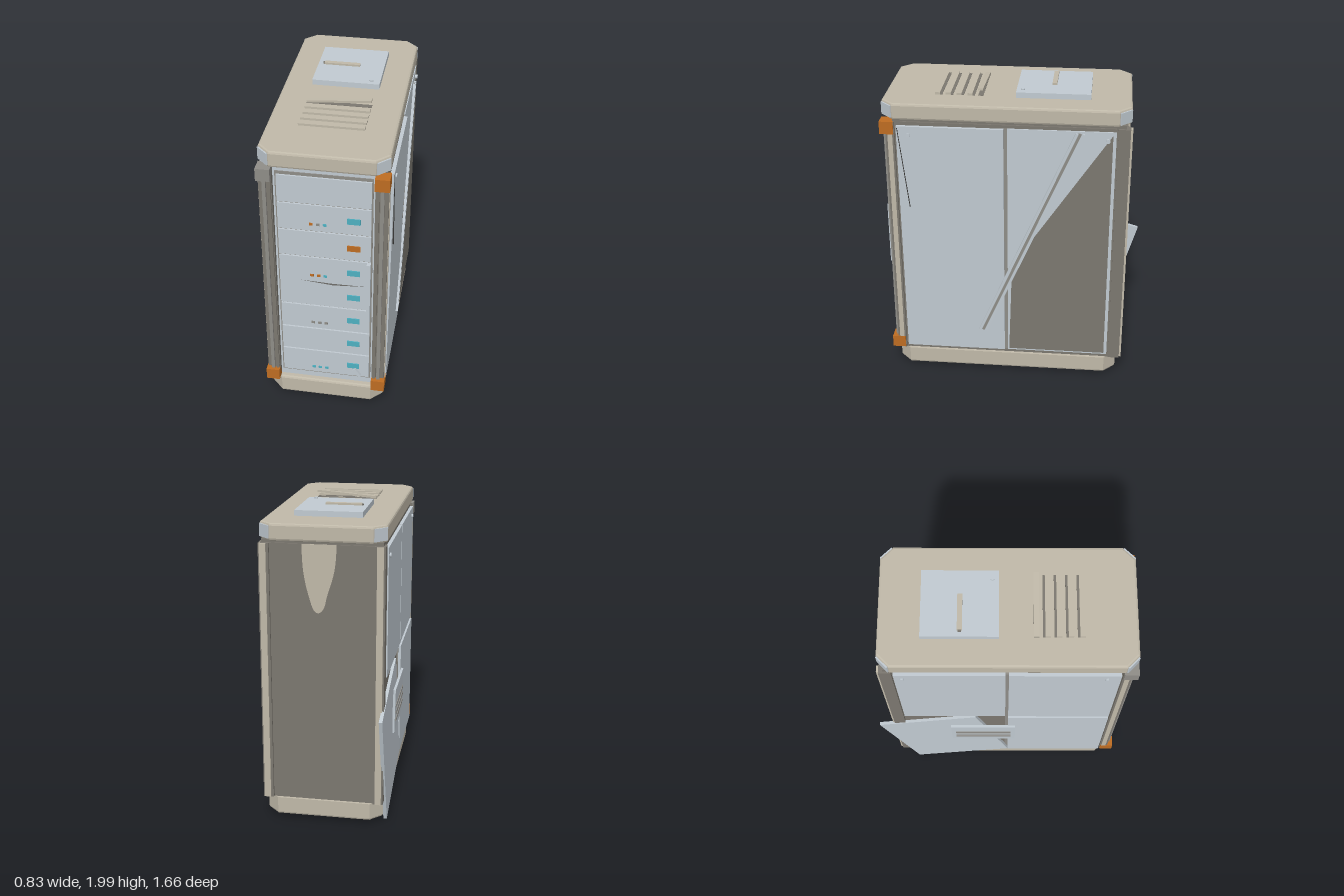
import * as THREE from 'three';

const mat = (name, color, side = THREE.FrontSide) => {
  const m = new THREE.MeshStandardMaterial({ color, side });
  m.name = name;
  return m;
};

export function createModel() {
  const root = new THREE.Group();
  root.name = 'serverCabinet';
  const beige = mat('warmBeige', 0xbfb8a8);
  const pale = mat('paleBlueGrey', 0xc0c9d0);
  const dark = mat('darkTaupe', 0x7b776f);
  const grey = mat('midGrey', 0x8e8c87);
  const black = mat('charcoal', 0x3a3937);
  const orange = mat('burntOrange', 0xbd6c22);
  const cyan = mat('cyanLamp', 0x4fb0c0);

  const add = (name, geo, m, parent = root) => {
    const mesh = new THREE.Mesh(geo, m);
    mesh.name = name;
    parent.add(mesh);
    return mesh;
  };
  // box given by its limits on each axis
  const box = (name, m, x0, x1, y0, y1, z0, z1, parent) => {
    const b = add(name, new THREE.BoxGeometry(x1 - x0, y1 - y0, z1 - z0), m, parent);
    b.position.set((x0 + x1) / 2, (y0 + y1) / 2, (z0 + z1) / 2);
    return b;
  };
  // slab with cut corners in plan and softened edges
  const slab = (name, w, z0, z1, y0, y1, cut) => {
    const r = 0.014, a = w - r, d = (z1 - z0) / 2 - r, c = cut - r / 2;
    const s = new THREE.Shape([
      [-a + c, -d], [a - c, -d], [a, -d + c], [a, d - c],
      [a - c, d], [-a + c, d], [-a, d - c], [-a, -d + c],
    ].map(p => new THREE.Vector2(...p)));
    const g = new THREE.ExtrudeGeometry(s, {
      depth: y1 - y0 - 2 * r, bevelThickness: r, bevelSize: r, bevelSegments: 2,
    });
    g.rotateX(-Math.PI / 2);
    const m = add(name, g, beige);
    m.position.set(0, y0 + r, (z0 + z1) / 2);
  };

  // Main shell
  slab('base', 0.375, -0.7, 0.785, 0.035, 0.165, 0.075);
  slab('topCap', 0.387, -0.73, 0.815, 1.845, 1.95, 0.075);
  box('core', dark, -0.37, 0.37, 0.16, 1.85, -0.7, 0.74);

  // Pale guards over the cap corners
  for (const sx of [-1, 1]) for (const sz of [-1, 1]) {
    const g = add('capCornerGuard', new THREE.BoxGeometry(0.095, 0.078, 0.009), pale);
    g.position.set(sx * 0.352, 1.898, sz > 0 ? 0.78 : -0.695);
    g.rotation.y = sz > 0 ? sx * Math.PI / 4 : sx * Math.PI * 3 / 4;
  }

  // Ribbed corner posts
  for (const sx of [-1, 1]) {
    const x = (a, b) => sx > 0 ? [a, b] : [-b, -a];
    box('frontPost', dark, ...x(0.305, 0.385), 0.165, 1.83, 0.73, 0.785);
    box('frontPostRib', grey, ...x(0.338, 0.36), 0.165, 1.83, 0.78, 0.802);
    box('frontPostInnerRib', dark, ...x(0.31, 0.33), 0.165, 1.83, 0.78, 0.797);
    box('frontPostSideTrim', beige, ...x(0.382, 0.389), 0.25, 1.75, 0.742, 0.772);
    box('rearPost', dark, ...x(0.32, 0.385), 0.165, 1.83, -0.725, -0.65);
    box('rearPostTrim', beige, ...x(0.335, 0.375), 0.17, 1.83, -0.738, -0.722);
    for (const top of [0, 1]) {
      const m = sx < 0 && top ? grey : orange;
      box('cornerBlock', m, ...x(0.305, 0.392), top ? 1.75 : 0.17, top ? 1.832 : 0.252, 0.735, 0.822);
    }
  }

  // Front frame and equipment bays
  const front = new THREE.Group();
  front.name = 'frontBays';
  root.add(front);
  box('frontFrame', pale, -0.306, 0.306, 0.17, 1.825, 0.73, 0.752, front);
  box('bayRecess', grey, -0.292, 0.292, 0.215, 1.79, 0.74, 0.757, front);
  const seams = [0.225, 0.42, 0.612, 0.805, 1.0, 1.19, 1.385, 1.58, 1.775];
  for (let i = 0; i < 8; i++) {
    const hi = i === 3 ? 1.0 : seams[i + 1] - 0.005;
    box('bayPanel', pale, -0.283, 0.283, i === 4 ? 1.0 : seams[i] + 0.005, hi, 0.745, 0.768, front);
    if (i < 7) {
      const y = [0.32, 0.515, 0.71, 0.9, 1.095, 1.285, 1.485][i];
      box('bayDisplay', i === 5 ? orange : cyan, 0.14, 0.22, y - 0.02, y + 0.02, 0.766, 0.774, front);
    }
  }
  const lamps = [
    [1.44, [orange, grey, cyan]], [1.05, [orange, orange, cyan]],
    [0.665, [grey, grey, grey]], [0.275, [cyan, cyan, cyan]],
  ];
  for (const [y, row] of lamps) row.forEach((m, i) => {
    const x = -0.08 + i * 0.042;
    box('statusLamp', m, x - 0.011, x + 0.011, y - 0.008, y + 0.008, 0.766, 0.773, front);
  });
  // Bent seam, latch and vertical handle
  const dent = new THREE.Shape([[-0.16, 1.005], [0.05, 0.985], [0.265, 1.0], [0.05, 0.997]]
    .map(p => new THREE.Vector2(...p)));
  add('bentSeam', new THREE.ShapeGeometry(dent), mat('seamGrey', 0x6f6e6b, THREE.DoubleSide), front)
    .position.z = 0.77;
  const latch = add('brokenLatch', new THREE.BoxGeometry(0.02, 0.065, 0.02), pale, front);
  latch.position.set(0.207, 0.275, 0.78);
  latch.rotation.z = 0.6;
  box('frontHandle', pale, 0.266, 0.29, 0.79, 1.21, 0.795, 0.825, front);
  for (const y of [0.83, 1.17]) box('handleMount', dark, 0.27, 0.286, y - 0.015, y + 0.015, 0.765, 0.8, front);

  // Right-hand drawn side (+x): loose front panel, rear panel, diagonal rods
  const loose = box('sideFrontPanel', pale, 0.375, 0.398, 0.19, 1.81, 0.05, 0.715);
  loose.rotation.z = -0.008;
  box('sideRearPanel', pale, 0.365, 0.386, 0.19, 1.81, -0.64, 0.028);
  const tri = new THREE.Shape([[-0.02, 0.2], [0.62, 0.2], [0.62, 1.79], [0, 0.85]]
    .map(p => new THREE.Vector2(...p)));
  const scorch = add('sideDarkPatch', new THREE.ExtrudeGeometry(tri, { depth: 0.003, bevelEnabled: false }), dark);
  scorch.rotation.y = Math.PI / 2;
  scorch.position.x = 0.385;
  box('sideSeam', grey, 0.37, 0.384, 0.19, 1.81, 0.028, 0.05);
  box('sideTopRail', dark, 0.36, 0.38, 1.812, 1.832, -0.64, 0.69);
  // thin bar across the +x side between two (z, y) points
  const sideBar = (name, m, z0, y0, z1, y1, w, x, t) => {
    const b = add(name, new THREE.BoxGeometry(t, Math.hypot(z1 - z0, y1 - y0), w), m);
    b.position.set(x, (y0 + y1) / 2, (z0 + z1) / 2);
    b.rotation.x = Math.atan2(z1 - z0, y1 - y0);
  };
  sideBar('diagonalRod', pale, 0.215, 0.35, -0.4, 1.8, 0.018, 0.4, 0.016);
  sideBar('diagonalRod', pale, 0.175, 0.35, -0.44, 1.8, 0.018, 0.4, 0.016);
  sideBar('diagonalGap', grey, 0.195, 0.35, -0.42, 1.8, 0.02, 0.398, 0.008);
  sideBar('panelCrack', black, 0.708, 1.8, 0.65, 1.26, 0.004, 0.402, 0.01);

  // Opposite side (-x): four panels, the lower rear one hanging askew
  box('leftUpperRearPanel', pale, -0.392, -0.365, 0.995, 1.81, -0.64, 0.03);
  box('leftUpperFrontPanel', pale, -0.392, -0.365, 0.995, 1.81, 0.05, 0.72);
  box('leftLowerFrontPanel', pale, -0.398, -0.37, 0.19, 0.975, 0.05, 0.72);
  box('leftCrossSeam', grey, -0.38, -0.365, 0.19, 1.81, 0.03, 0.05);
  box('leftLevelSeam', grey, -0.38, -0.365, 0.975, 0.995, -0.64, 0.72);
  const hanging = add('hangingPanel', new THREE.BoxGeometry(0.022, 0.79, 0.69), pale);
  hanging.position.set(-0.384, 0.487, -0.39);
  hanging.rotation.set(-0.28, 0, -0.012);

  // Louvred plaque
  const plaque = new THREE.Group();
  plaque.name = 'louvredPlaque';
  plaque.position.set(-0.402, 0.65, -0.12);
  plaque.rotation.z = 0.02;
  root.add(plaque);
  box('plaquePlate', pale, -0.008, 0.008, -0.15, 0.15, -0.22, 0.22, plaque);
  for (const y of [-0.07, -0.02, 0.03])
    box('plaqueLouvre', grey, -0.013, 0, y - 0.009, y + 0.009, -0.19, 0.19, plaque);

  // Panel screws
  for (const sx of [-1, 1]) for (const z of [-0.59, 0.64]) {
    const s = add('panelScrew', new THREE.CylinderGeometry(0.014, 0.014, 0.016, 10), pale);
    s.rotation.z = Math.PI / 2;
    s.position.set(sx * (sx > 0 && z > 0 ? 0.405 : 0.394), 1.755, z);
  }

  // Back panel with a worn patch running down from the top
  box('backPanel', dark, -0.32, 0.32, 0.18, 1.83, -0.71, -0.695);
  const worn = new THREE.Shape();
  worn.moveTo(-0.11, 1.83);
  worn.lineTo(0.1, 1.83);
  worn.bezierCurveTo(0.1, 1.65, 0.08, 1.58, 0.045, 1.46);
  worn.bezierCurveTo(0.02, 1.38, -0.02, 1.4, -0.04, 1.46);
  worn.bezierCurveTo(-0.06, 1.58, -0.11, 1.62, -0.11, 1.83);
  const patch = add('backWornPatch', new THREE.ExtrudeGeometry(worn, { depth: 0.004, bevelEnabled: false }), beige);
  patch.position.set(0.02, 0, -0.714);

  // Roof hatch with handle
  box('roofHatch', pale, -0.21, 0.215, 1.945, 1.985, -0.475, -0.01);
  box('hatchHandle', beige, -0.17, 0.06, 1.98, 1.997, -0.257, -0.227);
  box('hatchHandleEnd', dark, -0.18, -0.165, 1.98, 1.994, -0.252, -0.232);
  add('hatchScrew', new THREE.CylinderGeometry(0.012, 0.012, 0.01, 10), pale).position.set(0.16, 1.988, -0.05);

  // Roof vent slats, the first one bent upward
  for (let i = 1; i < 5; i++) {
    const z = 0.21 + i * 0.068;
    box('ventSlat', beige, -0.2, 0.2, 1.945, 1.964, z - 0.016, z + 0.016);
    box('ventShadowGap', dark, -0.2, 0.2, 1.945, 1.953, z - 0.03, z - 0.016);
  }
  const bent = box('bentVentSlat', beige, -0.2, 0.2, 1.968, 1.982, 0.194, 0.226);
  bent.rotation.z = 0.08;
  box('ventShadowGap', dark, -0.2, 0.2, 1.945, 1.953, 0.194, 0.226);

  return root;
}
